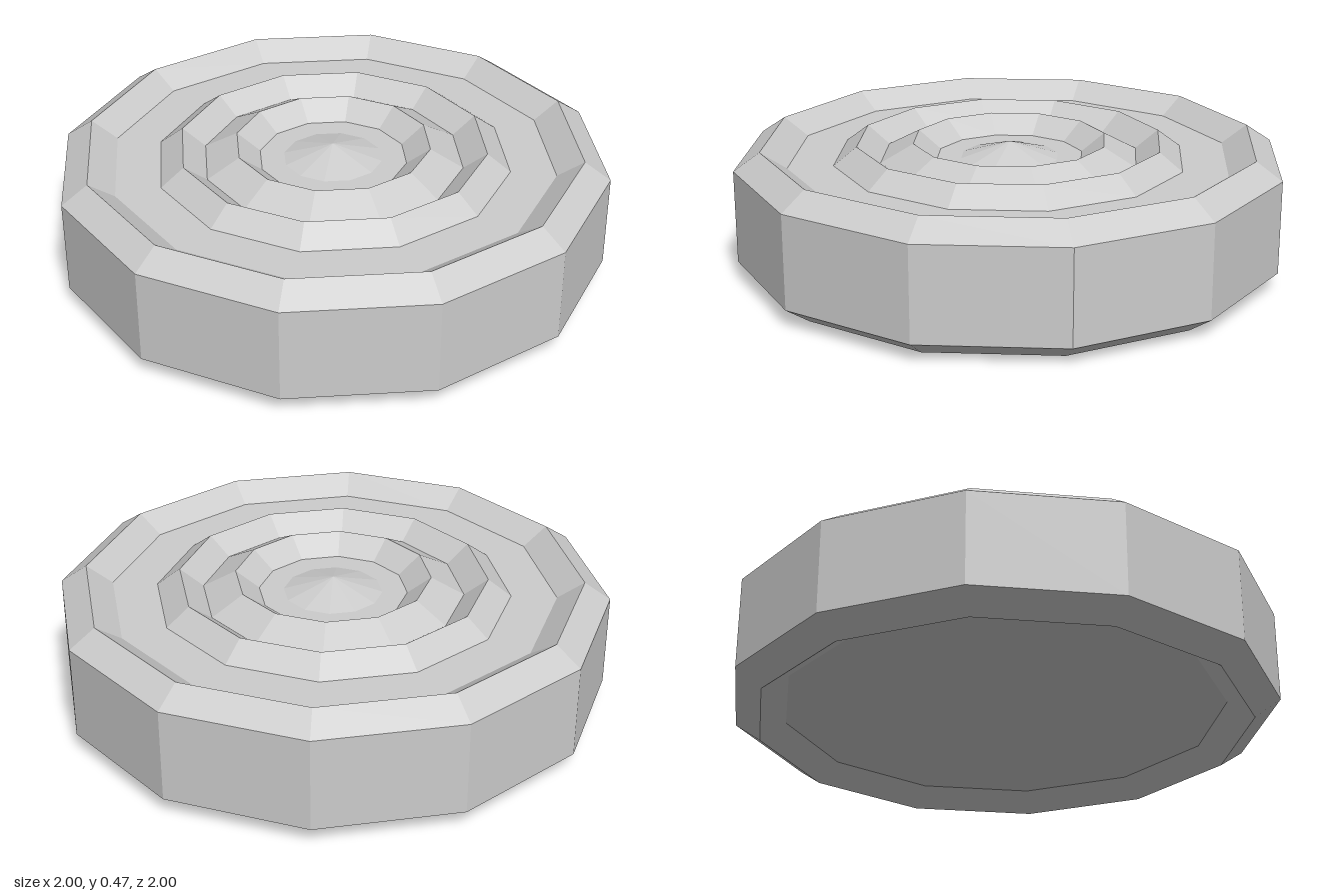
import * as THREE from 'three';

const SIDES = 12;

export function createModel() {
  const group = new THREE.Group();
  const grey = new THREE.MeshStandardMaterial({ color: 0xcccccc, flatShading: true });
  grey.name = 'light grey';

  // Each part is a twelve-sided lathe of [radius, height] points, wound from the base outwards and up
  const ring = (name, points) => {
    const profile = points.map(([r, y]) => new THREE.Vector2(r, y));
    const mesh = new THREE.Mesh(new THREE.LatheGeometry(profile, SIDES), grey);
    mesh.name = name;
    group.add(mesh);
  };

  const low = 0.065, floor = 0.405, top = 0.47;

  // Recessed underside
  ring('underside', [[0, low], [0.81, low], [0.905, 0]]);
  // Bevelled outer wall with its raised rim
  ring('rim', [[0.905, 0], [1, low], [1, floor], [0.905, top], [0.81, floor]]);
  // Flat sunken face
  ring('face', [[0.81, floor], [0.645, floor]]);
  // Two concentric ridges
  ring('outerRidge', [[0.645, floor], [0.56, top], [0.475, floor]]);
  ring('innerRidge', [[0.475, floor], [0.355, top], [0.27, floor]]);
  // Centre floor and low cone
  ring('centreCone', [[0.27, floor], [0.18, floor], [0, 0.46]]);

  return group;
}
